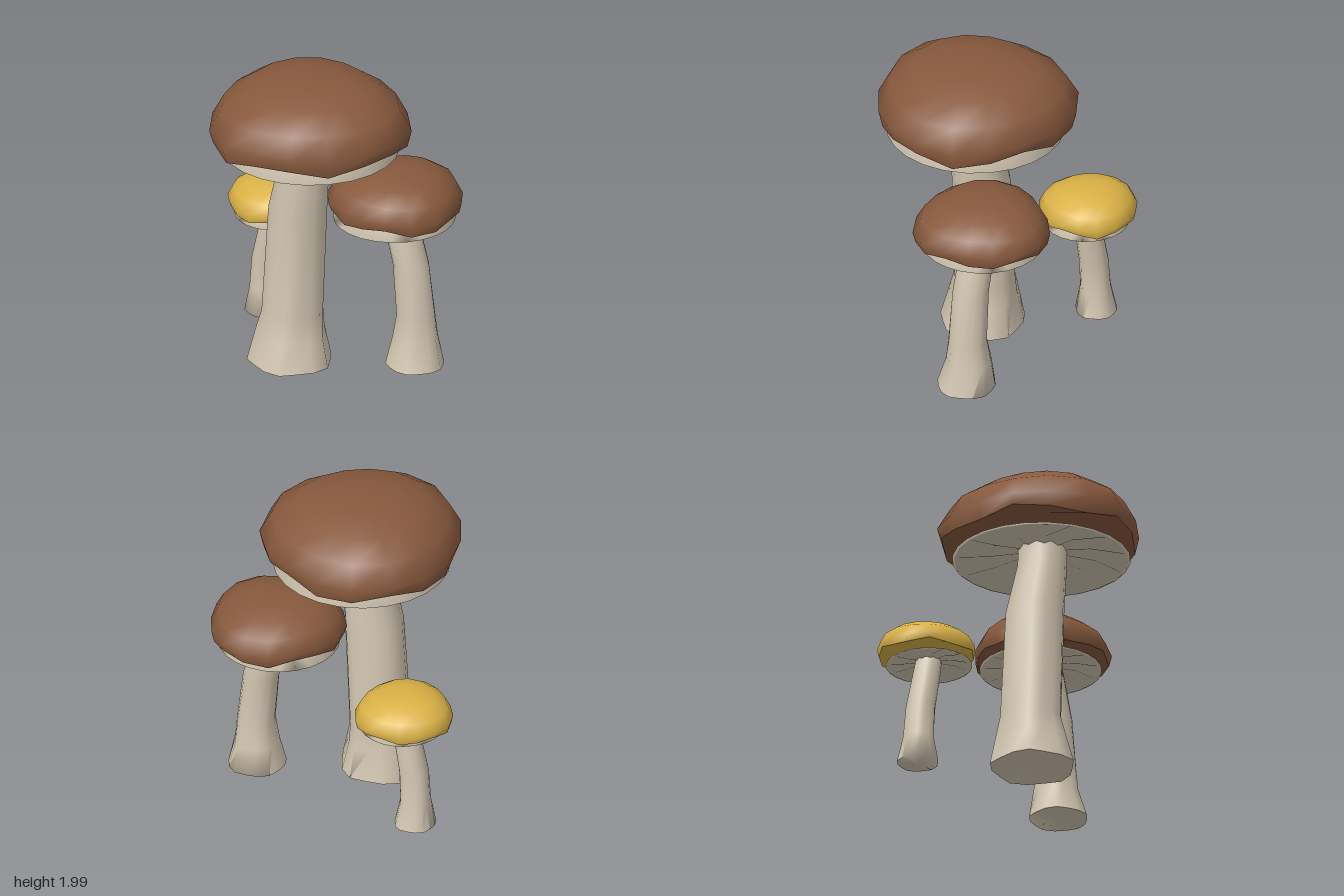
import * as THREE from 'three';
import { toCreasedNormals } from 'three/addons/utils/BufferGeometryUtils.js';

const mat = (name, color) => {
  const m = new THREE.MeshStandardMaterial({ color });
  m.name = name;
  return m;
};

// Skin a stack of rings; point(ring, angle) returns [x, y, z]. Rings with r = 0 are poles.
function loft(rings, segments, point, crease) {
  const pos = [], index = [], n = segments;
  rings.forEach((ring) => {
    for (let i = 0; i < n; i++) pos.push(...point(ring, (i / n) * Math.PI * 2));
  });
  for (let j = 0; j < rings.length - 1; j++) {
    for (let i = 0; i < n; i++) {
      const a = j * n + i, c = j * n + (i + 1) % n, b = a + n, d = c + n;
      if (rings[j].r > 0) index.push(a, b, c);
      if (rings[j + 1].r > 0) index.push(c, b, d);
    }
  }
  const geo = new THREE.BufferGeometry();
  geo.setAttribute('position', new THREE.Float32BufferAttribute(pos, 3));
  geo.setIndex(index);
  return toCreasedNormals(geo, crease);
}

// Domed cap with a wavy rim, a slightly three-sided outline and a hollow underside
function capGeometry({ x, z, r, y, h, wavePhase, lobe, lobePhase }) {
  const profile = [
    [0, 0.1, 0], [0.62, 0.15, 0], [0.96, 0.03, 1], [1, 0.25, 0.3],
    [0.88, 0.61, 0], [0.64, 0.87, 0], [0.32, 0.99, 0], [0, 1, 0],
  ].map(([f, t, wave]) => ({ r: f * r, y: y + t * h, wave }));
  return loft(profile, 16, (p, a) => {
    const rr = p.r * (1 + lobe * Math.cos(3 * a + lobePhase));
    const dip = -0.08 * h * p.wave * Math.cos(5 * (a - Math.PI / 4) + wavePhase);
    return [x + rr * Math.cos(a), p.y + dip, z + rr * Math.sin(a)];
  }, 1.1);
}

// Shallow cone of gills, pleated underneath
function gillGeometry({ x, z, r, y, h }) {
  const rings = [
    { r: 0.001, y: y + h * 0.5, pleat: 0 }, { r: r * 0.6, y: y + h * 0.25, pleat: 1 },
    { r: r * 0.97, y, pleat: 0 }, { r, y: y + h * 0.06, pleat: 0 },
    { r: r * 0.45, y: y + h * 0.65, pleat: 0 }, { r: 0, y: y + h, pleat: 0 },
  ];
  return loft(rings, 24, (p, a) => [
    x + p.r * Math.cos(a),
    p.y + p.pleat * h * 0.14 * Math.cos(12 * a),
    z + p.r * Math.sin(a),
  ], Math.PI);
}

// Bent stem with a lobed foot; sections are [y, x, z, radius, lobe depth]
function stemGeometry(sections) {
  const rings = sections.map(([y, x, z, r, lobe]) => ({ y, x, z, r, lobe }));
  rings.unshift({ ...rings[0], y: 0.01, r: 0 });
  return loft(rings, 15, (p, a) => {
    const rr = p.r * (1 + p.lobe * Math.cos(5 * a - 0.5));
    return [p.x + rr * Math.cos(a), p.y, p.z + rr * Math.sin(a)];
  }, 1.7);
}

export function createModel() {
  const brown = mat('brown cap', 0x87593d);
  const yellow = mat('yellow cap', 0xd9b145);
  const cream = mat('cream stem', 0xd1c6b1);

  const mushrooms = [
    {
      name: 'largeMushroom', capMat: brown,
      cap: { x: 0.005, z: 0.08, r: 0.64, y: 1.6, h: 0.4, wavePhase: 0, lobe: 0.035, lobePhase: 0.5 },
      gills: { x: 0.01, z: 0.075, r: 0.565, y: 1.515, h: 0.13 },
      stem: [
        [0.02, -0.115, 0.11, 0.265, 0.06], [0.22, -0.115, 0.1, 0.215, 0.09],
        [0.36, -0.11, 0.09, 0.195, 0.03], [1.1, -0.07, 0.09, 0.187, 0.02],
        [1.45, -0.015, 0.1, 0.158, 0], [1.6, -0.01, 0.1, 0.155, 0],
      ],
    },
    {
      name: 'mediumMushroom', capMat: brown,
      cap: { x: 0.43, z: -0.285, r: 0.433, y: 1.06, h: 0.27, wavePhase: 0.8, lobe: 0.045, lobePhase: -1.83 },
      gills: { x: 0.415, z: -0.275, r: 0.388, y: 0.995, h: 0.08 },
      stem: [
        [0.02, 0.58, -0.265, 0.185, 0.04], [0.2, 0.575, -0.28, 0.142, 0.06],
        [0.36, 0.58, -0.275, 0.122, 0.03], [0.7, 0.543, -0.272, 0.115, 0],
        [0.98, 0.468, -0.272, 0.112, 0], [1.04, 0.453, -0.272, 0.108, 0],
      ],
    },
    {
      name: 'smallMushroom', capMat: yellow,
      cap: { x: -0.56, z: -0.4, r: 0.312, y: 0.77, h: 0.2, wavePhase: 1.6, lobe: 0.035, lobePhase: 2.62 },
      gills: { x: -0.54, z: -0.39, r: 0.274, y: 0.725, h: 0.06 },
      stem: [
        [0.02, -0.635, -0.4, 0.132, 0.04], [0.19, -0.635, -0.395, 0.097, 0.05],
        [0.4, -0.622, -0.39, 0.094, 0.02], [0.7, -0.56, -0.385, 0.086, 0],
        [0.76, -0.55, -0.385, 0.082, 0],
      ],
    },
  ];

  const model = new THREE.Group();
  model.name = 'mushroomCluster';
  for (const m of mushrooms) {
    const group = new THREE.Group();
    group.name = m.name;
    const add = (name, geo, material) => {
      const mesh = new THREE.Mesh(geo, material);
      mesh.name = name;
      group.add(mesh);
    };
    add('cap', capGeometry(m.cap), m.capMat);
    add('gills', gillGeometry(m.gills), cream);
    add('stem', stemGeometry(m.stem), cream);
    model.add(group);
  }
  return model;
}
